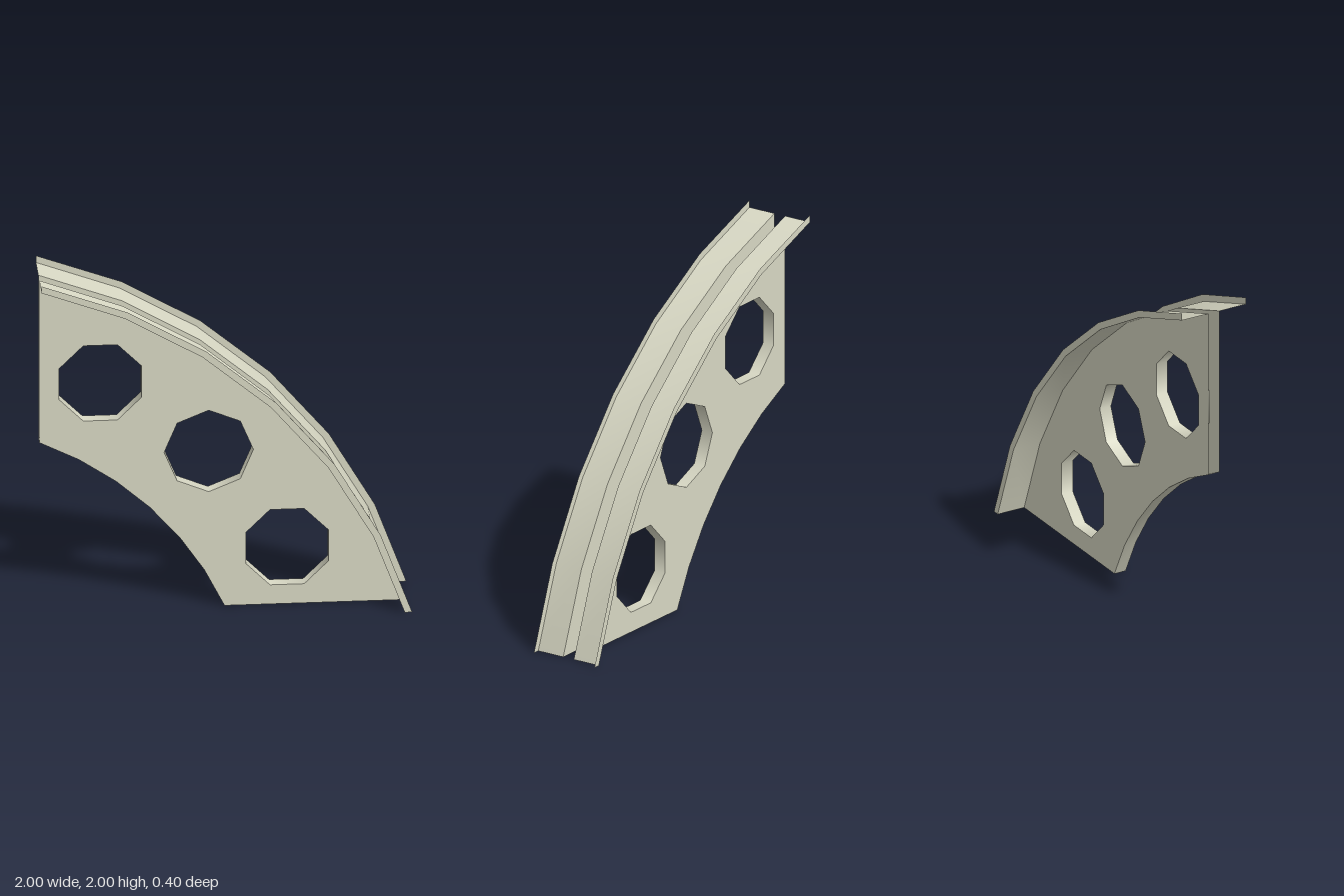
import * as THREE from 'three';

const CENTRE = new THREE.Vector2(-1.75, -0.75); // shared centre of all arcs
const WEB = 0.035;   // half thickness of the web
const EDGE = 0.2;    // half width across the flanges
const SEGMENTS = 6;
const HOLE_RADIUS = 0.241;
const HOLES = [
  { x: -0.67, y: 1.342, turn: Math.PI / 8 },
  { x: -0.085, y: 0.918, turn: 0 },
  { x: 0.338, y: 0.336, turn: Math.PI / 8 },
];

// Faceted arc from (endX, 0) up to the vertical end at x = -1
function arc(endX) {
  const dx = endX - CENTRE.x, dy = -CENTRE.y;
  const r = Math.hypot(dx, dy), start = Math.atan2(dy, dx);
  const sweep = Math.PI / 2 - 2 * start;
  return Array.from({ length: SEGMENTS + 1 }, (_, i) => {
    const a = start + (sweep * i) / SEGMENTS;
    return new THREE.Vector2(CENTRE.x + r * Math.cos(a), CENTRE.y + r * Math.sin(a));
  });
}

// Smooth ribbon between two arcs, each at its own depth
function ribbon(a, za, b, zb) {
  const positions = [], index = [];
  a.forEach((p, i) => {
    positions.push(p.x, p.y, za, b[i].x, b[i].y, zb);
    if (i < a.length - 1) {
      const k = 2 * i;
      index.push(k, k + 1, k + 2, k + 1, k + 3, k + 2);
    }
  });
  const g = new THREE.BufferGeometry();
  g.setAttribute('position', new THREE.Float32BufferAttribute(positions, 3));
  g.setIndex(index);
  g.computeVertexNormals();
  return g;
}

export function createModel() {
  const model = new THREE.Group();
  model.name = 'curvedGirder';
  const paint = new THREE.MeshStandardMaterial({ color: 0xd8d8c4, side: THREE.DoubleSide });
  paint.name = 'paleStone';
  const add = (name, geometry) => {
    const mesh = new THREE.Mesh(geometry, paint);
    mesh.name = name;
    model.add(mesh);
    return mesh;
  };

  const inner = arc(0), flange = arc(0.96), rim = arc(1);

  // Web outline with three octagonal holes
  const outline = new THREE.Shape([...flange, ...inner.slice().reverse()]);
  for (const { x, y, turn } of HOLES) {
    const corners = Array.from({ length: 8 }, (_, i) => {
      const a = turn - (i * Math.PI) / 4;
      return new THREE.Vector2(x + HOLE_RADIUS * Math.cos(a), y + HOLE_RADIUS * Math.sin(a));
    });
    outline.holes.push(new THREE.Path(corners));
  }

  // Front and back halves: web sheet, curved flange and upright lip
  for (const [side, s] of [['front', 1], ['back', -1]]) {
    const sheet = new THREE.ShapeGeometry(outline);
    if (s < 0) sheet.rotateY(Math.PI).scale(-1, 1, 1); // keeps the outline, normals face back
    add(side + 'WebSheet', sheet.translate(0, 0, s * WEB));
    add(side + 'Flange', s > 0
      ? ribbon(flange, WEB, flange, EDGE)
      : ribbon(flange, -EDGE, flange, -WEB));
    add(side + 'Lip', s > 0
      ? ribbon(flange, EDGE, rim, EDGE)
      : ribbon(rim, -EDGE, flange, -EDGE));
  }

  // Wall closing the inner curve; the ends and outer slot stay open
  add('innerCurveWall', ribbon(inner, WEB, inner, -WEB));

  // Hole linings
  for (const { x, y, turn } of HOLES) {
    const lining = new THREE.CylinderGeometry(HOLE_RADIUS, HOLE_RADIUS, 2 * WEB, 8, 1, true, turn);
    add('holeLining', lining.rotateX(Math.PI / 2).translate(x, y, 0));
  }
  return model;
}
